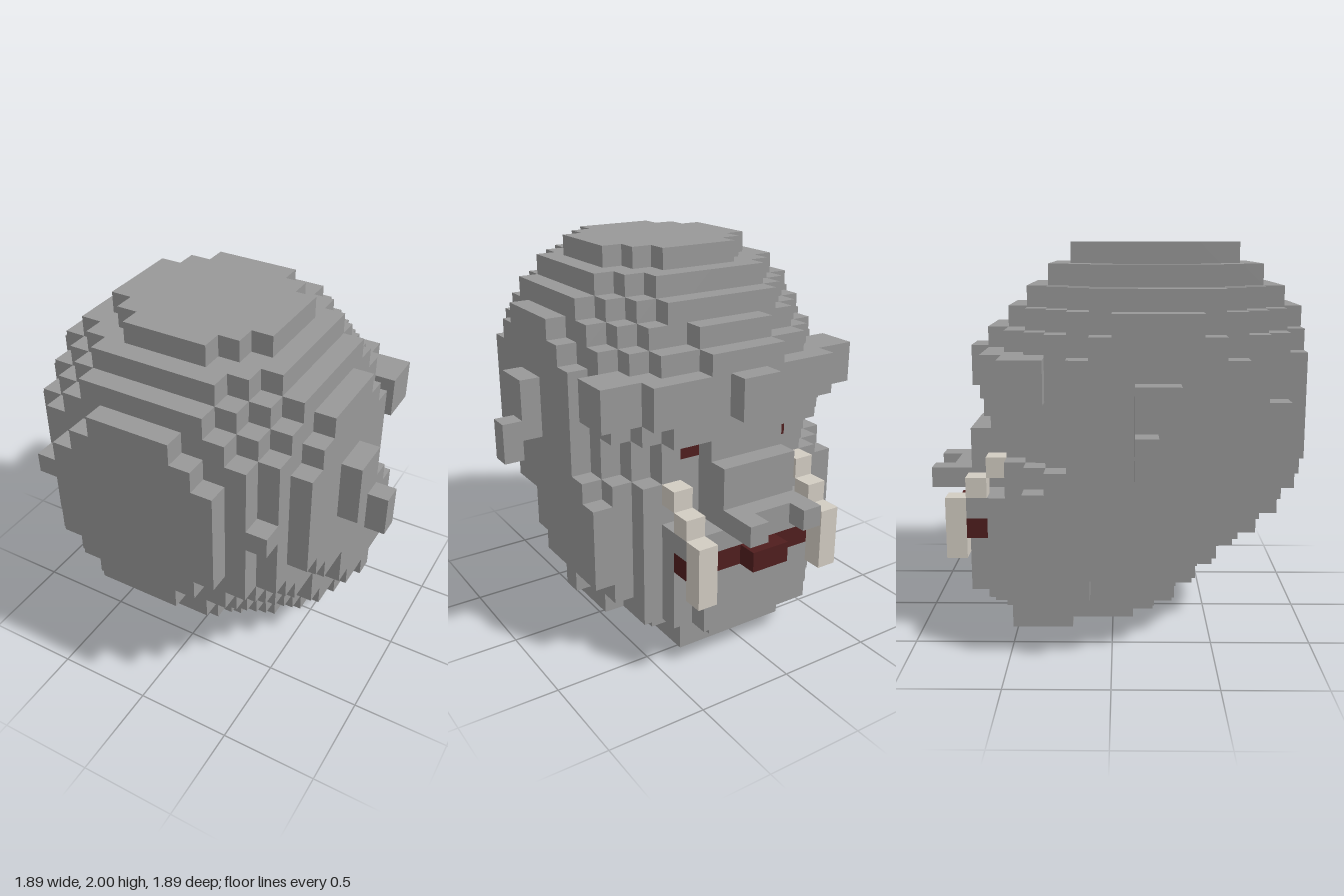
import * as THREE from 'three';

const UNIT = 2 / 19; // edge of one cube

export function createModel() {
  const grey = new THREE.MeshStandardMaterial({ color: 0x989898 });
  grey.name = 'stone grey';
  const red = new THREE.MeshStandardMaterial({ color: 0x501e1e });
  red.name = 'dark red';
  const ivory = new THREE.MeshStandardMaterial({ color: 0xd2ccc2 });
  ivory.name = 'ivory';

  // Cubes are kept on a grid; each cell remembers which part owns it
  const cells = new Map();
  const key = (x, y, z) => `${x},${y},${z}`;
  const put = (part, x, y, z) => cells.set(key(x, y, z), { part, x, y, z });

  // Box between two corners, in cubes
  function box(part, x0, x1, y0, y1, z0, z1) {
    for (let x = x0; x < x1; x++)
      for (let y = y0; y < y1; y++)
        for (let z = z0; z < z1; z++) put(part, x, y, z);
  }
  // The same box on both sides of the face
  function pair(part, x0, x1, y0, y1, z0, z1) {
    box(part, x0, x1, y0, y1, z0, z1);
    box(part, -x1, -x0, y0, y1, z0, z1);
  }
  // Stepped ball; keep() trims it
  function ball(part, cy, cz, wx, wy, limit, keep) {
    for (let x = -9; x < 9; x++)
      for (let y = 0; y < 19; y++)
        for (let z = -9; z < 9; z++) {
          const dx = x + 0.5, dy = y + 0.5 - cy, dz = z + 0.5 - cz;
          const inside = wx * dx * dx + wy * dy * dy + dz * dz <= limit;
          if (inside && keep(Math.abs(dx), y, z)) put(part, x, y, z);
        }
  }

  // Round skull, flattened at the sides
  ball('skull', 11.5, 2, 1, 0.94, 61, (dx) => dx < 7);

  // Lower jaw, narrowing to the mouth, with a round pad on each side
  const jawWidth = (z) => (z < -6 ? 3 : z < -5 ? 4 : z < -4 ? 5 : 7);
  const inPad = (y, z) => (y - 5.5) ** 2 + (z + 1.5) ** 2 <= 10.6;
  ball('jaw', 7.5, -1.5, 0.95, 1.08, 57.8, (dx, y, z) =>
    y > 0 && y < 9 && z >= (y < 7 ? -7 : -5) &&
    dx < jawWidth(z) && (dx < 6 || inPad(y, z)));
  box('jaw', -3, 3, 2, 5, -7, -4);
  box('jaw', -4, 4, 2, 7, -6, -4);
  box('chin', -3, 3, 0, 1, -5, -2);

  // Face behind the features, wider above the eyes
  box('face', -4, 4, 5, 11, -5, 0);
  box('face', -5, 5, 5, 11, -4, 0);
  box('face', -6, 6, 7, 11, -3, 0);
  box('face', -5, 5, 11, 14, -5, 0);
  box('face', -6, 6, 11, 14, -4, 0);

  // Brow ridge overhanging the eyes, stepped forehead and bump
  pair('brow', 4, 7, 12, 14, -5, -3);
  box('brow', -5, 5, 12, 14, -6, -5);
  box('brow', -4, 4, 11, 12, -6, -5);
  box('forehead', -2, 2, 14, 15, -6, -5);
  box('forehead', -4, 4, 14, 15, -5, 0);
  box('forehead', -5, 5, 14, 15, -4, 0);
  box('foreheadBump', -1, 1, 12, 14, -7, -6);

  // Nose with bridge, upper lip and nostril tips
  box('nose', -2, 2, 7, 12, -6, -5);
  box('nose', -2, 2, 8, 10, -7, -6);
  box('upperLip', -4, 4, 6, 7, -7, -6);
  box('upperLip', -2, 2, 7, 8, -8, -6);
  pair('nostril', 1, 2, 7, 8, -9, -8);

  // Ears
  pair('ear', 7, 8, 10, 13, 1, 3);
  pair('ear', 8, 9, 9, 11, 1, 2);

  // Eyes, mouth and tongue
  pair('eye', 2, 3, 10, 11, -5, -4);
  box('mouth', -4, 4, 5, 6, -7, -6);
  box('tongue', -1, 1, 5, 6, -8, -7);

  // Curved tusks
  pair('tusk', 3, 4, 8, 9, -6, -5);
  pair('tusk', 3, 4, 7, 8, -7, -6);
  pair('tusk', 3, 4, 4, 7, -8, -7);

  // Exposed cube faces, gathered per part
  const surfaces = new Map();
  for (const { part, x, y, z } of cells.values()) {
    if (!surfaces.has(part)) surfaces.set(part, { position: [], normal: [] });
    const { position, normal } = surfaces.get(part);
    for (let axis = 0; axis < 3; axis++)
      for (const side of [-1, 1]) {
        const n = [0, 0, 0];
        n[axis] = side;
        if (cells.has(key(x + n[0], y + n[1], z + n[2]))) continue;
        const u = (axis + 1) % 3, v = (axis + 2) % 3;
        const corner = (a, b) => {
          const p = [x, y, z];
          p[axis] += side > 0 ? 1 : 0;
          p[u] += a;
          p[v] += b;
          return p.map((c) => c * UNIT);
        };
        const quad = [corner(0, 0), corner(1, 0), corner(1, 1), corner(0, 1)];
        if (side < 0) quad.reverse();
        for (const i of [0, 1, 2, 0, 2, 3]) {
          position.push(...quad[i]);
          normal.push(...n);
        }
      }
  }

  // One mesh per part
  const colours = { eye: red, mouth: red, tongue: red, tusk: ivory };
  const group = new THREE.Group();
  group.name = 'head';
  for (const [part, { position, normal }] of surfaces) {
    const geometry = new THREE.BufferGeometry();
    geometry.setAttribute('position', new THREE.Float32BufferAttribute(position, 3));
    geometry.setAttribute('normal', new THREE.Float32BufferAttribute(normal, 3));
    const mesh = new THREE.Mesh(geometry, colours[part] || grey);
    mesh.name = part;
    group.add(mesh);
  }
  return group;
}
